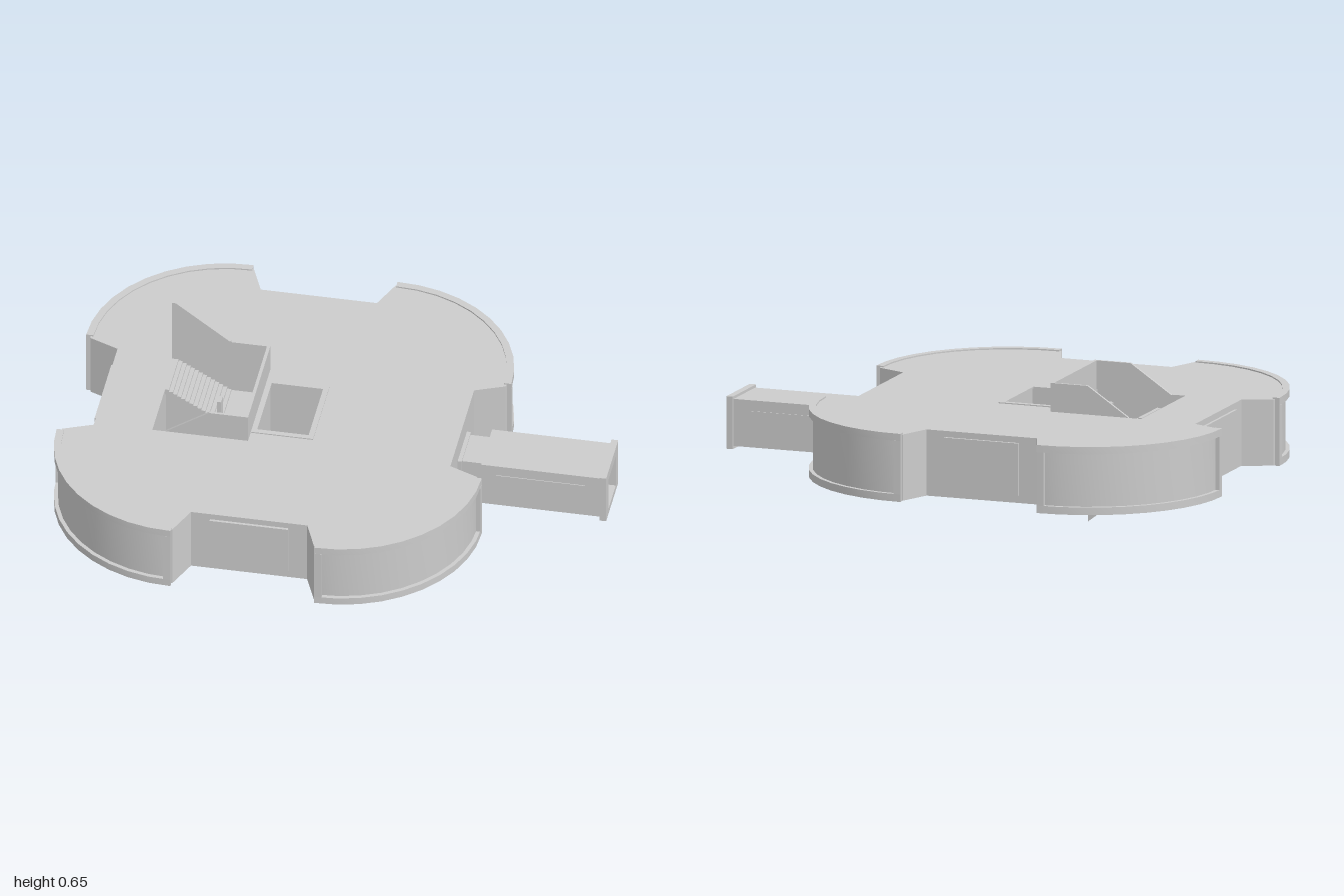
import * as THREE from 'three';
import { toCreasedNormals } from 'three/addons/utils/BufferGeometryUtils.js';

const CX = -0.215; // centre of the clover-shaped building
const grey = new THREE.MeshStandardMaterial({ color: 0xcccccc });
const thin = new THREE.MeshStandardMaterial({ color: 0xcccccc, side: THREE.DoubleSide });

const shapeOf = (pts) => new THREE.Shape(pts.map(([a, b]) => new THREE.Vector2(a, b)));
const rect = (a0, b0, a1, b1) => [[a0, b0], [a1, b0], [a1, b1], [a0, b1]];

function arc(r, from, to, n) {
  return Array.from({ length: n + 1 }, (_, i) => {
    const a = THREE.MathUtils.degToRad(from + ((to - from) * i) / n);
    return [0.275 + r * Math.cos(a), 0.295 + r * Math.sin(a)];
  });
}

export function createModel() {
  const model = new THREE.Group();

  function add(name, geometry, material = grey) {
    const mesh = new THREE.Mesh(geometry, material);
    mesh.name = name;
    model.add(mesh);
    return mesh;
  }
  function box(name, x0, x1, y0, y1, z0, z1) {
    const g = new THREE.BoxGeometry(x1 - x0, y1 - y0, z1 - z0);
    return add(name, g.translate((x0 + x1) / 2, (y0 + y1) / 2, (z0 + z1) / 2));
  }
  const extrude = (shape, depth) => new THREE.ExtrudeGeometry(shape, { depth, bevelEnabled: false });
  // plan outline (x, -z) raised from y0 to y1
  function raise(name, shape, y0, y1) {
    const g = extrude(shape, y1 - y0).rotateX(-Math.PI / 2).translate(0, y0, 0);
    return add(name, toCreasedNormals(g, 0.5));
  }
  // side profile (x, y) spanning z0 to z1
  const span = (name, pts, z0, z1) => add(name, extrude(shapeOf(pts), z1 - z0).translate(0, 0, z0));

  // Clover-shaped floor, mirrored from one quadrant, with stairwell and shaft
  const quad = [[0.66, 0.23], [0.768, 0.275], ...arc(0.497, 0, 90, 10), [0.262, 0.79], [0.215, 0.675]];
  const flip = (sx, sy) => quad.map(([a, b]) => [a * sx, b * sy]);
  const outline = [...flip(1, 1), ...flip(-1, 1).reverse(), ...flip(-1, -1), ...flip(1, -1).reverse()];
  const floor = shapeOf(outline.map(([a, b]) => [a + CX, b]));
  floor.holes.push(shapeOf(rect(-0.66, -0.22, -0.31, 0.22)), shapeOf(rect(-0.29, -0.155, -0.09, 0.135)));
  raise('floorBlock', floor, 0.152, 0.398);

  // Raised frames around the curved corner windows
  for (const sx of [1, -1]) {
    for (const sy of [1, -1]) {
      const band = (name, from, to, n, y0, y1) => {
        const pts = [...arc(0.512, from, to, n), ...arc(0.485, from, to, n).reverse()];
        raise(name, shapeOf(pts.map(([a, b]) => [a * sx + CX, b * sy])), y0, y1);
      };
      band('cornerFrameTop', -1, 91, 10, 0.376, 0.403);
      band('cornerFrameBottom', -1, 91, 10, 0.15, 0.178);
      band('cornerFramePost', -1, 2, 1, 0.178, 0.376);
      band('cornerFramePost', 88, 91, 1, 0.178, 0.376);
    }
  }

  // Flat window panels in the recessed walls
  for (const z of [0.675, -0.675]) box('wallPanel', -0.36, -0.07, 0.18, 0.375, z - 0.01, z + 0.01);
  box('wallPanel', -0.885, -0.865, 0.18, 0.375, -0.16, 0.16);

  // Thin rim under the lift shaft
  const rim = shapeOf(rect(-0.305, -0.17, -0.075, 0.15));
  rim.holes.push(shapeOf(rect(-0.285, -0.15, -0.095, 0.13)));
  raise('shaftRim', rim, 0.146, 0.155);
  raise('shaftRimTop', rim, 0.396, 0.402);

  // Hollow boarding passage on the side
  function tube(name, x0, x1, hw, y0, y1) {
    const s = shapeOf(rect(-hw, y0, hw, y1));
    s.holes.push(shapeOf(rect(-0.07, 0.163, 0.07, 0.295)));
    add(name, extrude(s, x1 - x0).rotateY(Math.PI / 2).translate(x0, 0, 0));
  }
  tube('passageNeckCollar', 0.44, 0.46, 0.09, 0.15, 0.315);
  tube('passageNeck', 0.455, 0.54, 0.08, 0.155, 0.31);
  tube('passageTube', 0.535, 0.98, 0.107, 0.15, 0.325);
  tube('passageEndCollar', 0.975, 1, 0.117, 0.14, 0.335);
  for (const z of [0.107, -0.107]) box('passagePanel', 0.59, 0.92, 0.19, 0.285, z - 0.003, z + 0.003);

  // Two half flights joined by a landing
  function flight(name, x0, dir, y0, rise, z0, z1) {
    const n = 14, run = 0.21;
    const pts = [[x0, y0 - 0.02]];
    for (let i = 0; i < n; i++) {
      const y = y0 + (rise * (i + 1)) / n;
      pts.push([x0 + (dir * run * i) / n, y], [x0 + (dir * run * (i + 1)) / n, y]);
    }
    pts.push([x0 + dir * run, y0 + rise - 0.02]);
    span(name, pts, z0, z1);
  }
  flight('lowerFlight', -0.66, 1, 0.16, 0.12, 0.02, 0.215);
  flight('upperFlight', -0.45, -1, 0.28, 0.12, -0.212, -0.022);
  box('landing', -0.455, -0.305, 0.262, 0.28, -0.218, 0.218);

  // Parapet around the stairwell
  const cheek = [[-0.61, 0.398], [-0.31, 0.398], [-0.31, 0.505], [-0.45, 0.505]];
  span('parapetSide', cheek, 0.21, 0.22);
  span('parapetSide', cheek, -0.22, -0.21);
  box('parapetEnd', -0.318, -0.306, 0.155, 0.505, -0.22, 0.22);
  box('railCap', -0.46, -0.445, 0.27, 0.4, -0.02, 0.015);

  // Thin stair side sheets above and below the floor
  const upper = shapeOf([[-0.67, 0.4], [-0.45, 0.4], [-0.45, 0.505], [-0.655, 0.655], [-0.67, 0.655]]);
  add('stairSheetUpper', new THREE.ShapeGeometry(upper).translate(0, 0, -0.208));
  const lower = shapeOf([[-0.655, 0.155], [-0.45, 0.0], [-0.45, 0.27], [-0.655, 0.395]]);
  for (const z of [-0.214, -0.016]) add('stairSheetLower', new THREE.ShapeGeometry(lower).translate(0, 0, z), thin);

  return model;
}
